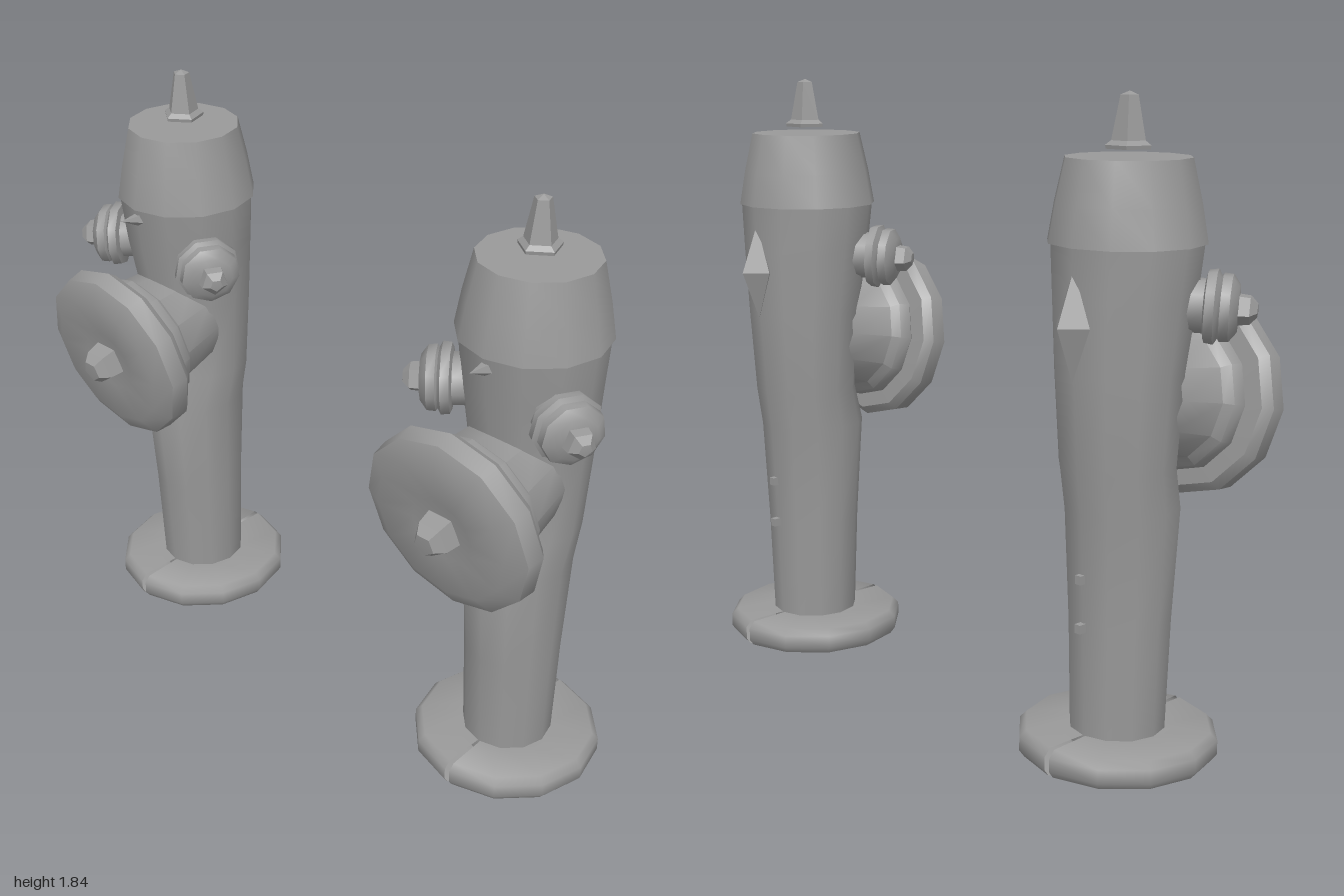
import * as THREE from 'three';
import { toCreasedNormals } from 'three/addons/utils/BufferGeometryUtils.js';

const iron = new THREE.MeshStandardMaterial({ color: 0x999999, side: THREE.DoubleSide });
iron.name = 'cast iron grey';

function add(parent, name, geometry, crease = 0.8) {
  const mesh = new THREE.Mesh(toCreasedNormals(geometry, crease), iron);
  mesh.name = name;
  parent.add(mesh);
  return mesh;
}

// turned part from [radius, height] pairs
function turned(points, sides, start = 0, length = Math.PI * 2) {
  return new THREE.LatheGeometry(points.map(([r, y]) => new THREE.Vector2(r, y)), sides, start, length);
}

// barrel: elliptical rings [y, centre z, x radius, z radius]
function loft(rings, sides) {
  const pos = [], index = [];
  rings.forEach(([y, cz, rx, rz], j) => {
    for (let i = 0; i < sides; i++) {
      const a = (i / sides) * Math.PI * 2;
      pos.push(Math.sin(a) * rx, y, cz + Math.cos(a) * rz);
      if (j === 0) continue;
      const k = (i + 1) % sides, lo = (j - 1) * sides, hi = j * sides;
      index.push(lo + i, lo + k, hi + k, lo + i, hi + k, hi + i);
    }
  });
  const g = new THREE.BufferGeometry();
  g.setAttribute('position', new THREE.Float32BufferAttribute(pos, 3));
  g.setIndex(index);
  return g;
}

function createHydrant() {
  const hydrant = new THREE.Group();
  const cz = -0.073;

  // ground flange in two halves with a narrow split front and back
  const flange = [[0.11, 0.03], [0.14, 0.0], [0.27, 0.0], [0.285, 0.02], [0.285, 0.06], [0.265, 0.08], [0.12, 0.08]];
  for (const start of [0.03, Math.PI + 0.03]) {
    add(hydrant, 'baseFlange', turned(flange, 6, start, Math.PI - 0.06), 0.9).position.z = cz;
  }
  const floor = add(hydrant, 'baseFloor', new THREE.CylinderGeometry(0.13, 0.13, 0.02, 12));
  floor.position.set(0, 0.04, cz);

  // barrel with a slight shoulder
  add(hydrant, 'barrel', loft([
    [0.04, -0.075, 0.135, 0.135],
    [0.4, -0.073, 0.143, 0.15],
    [0.72, -0.07, 0.157, 0.17],
    [0.84, -0.095, 0.165, 0.16],
    [1.1, -0.095, 0.18, 0.178],
    [1.3, -0.08, 0.195, 0.203],
    [1.45, cz, 0.208, 0.214],
  ], 12));

  // bonnet
  add(hydrant, 'bonnet', turned([[0.19, 1.445], [0.218, 1.445], [0.2, 1.55], [0.173, 1.67], [0, 1.67]], 12)).position.z = cz;

  // operating nut above the bonnet
  const nut = add(hydrant, 'topNut', turned([[0, 1.69], [0.062, 1.69], [0.064, 1.7], [0.048, 1.712], [0.025, 1.83], [0, 1.84]], 5), 0.4);
  nut.position.z = cz;

  // large front outlet, tipped slightly downward
  const outlet = new THREE.Group();
  outlet.name = 'frontOutlet';
  outlet.position.set(0, 0.985, 0.235);
  outlet.rotation.x = Math.PI / 2 + 0.17;
  add(outlet, 'outletNeck', turned([[0.17, -0.27], [0.19, -0.12], [0.215, -0.1], [0.22, -0.06], [0.2, -0.04]], 12));
  add(outlet, 'outletCap', turned([[0.18, -0.05], [0.265, -0.045], [0.287, -0.02], [0.28, 0.035], [0.22, 0.065], [0.1, 0.055], [0, 0.05]], 12));
  add(outlet, 'outletNut', turned([[0.068, 0.04], [0.058, 0.1], [0.035, 0.128], [0, 0.13]], 5), 0.4);
  hydrant.add(outlet);

  // two hose outlets, turned toward the front
  for (const [side, yaw] of [[-1, 0.6], [1, 0.5]]) {
    const hose = new THREE.Group();
    hose.name = side > 0 ? 'leftHoseOutlet' : 'rightHoseOutlet';
    hose.position.set(0, 1.29, cz);
    hose.rotation.y = side * (Math.PI / 2 - yaw);
    const tip = new THREE.Group();
    tip.rotation.x = Math.PI / 2 + 0.05;
    hose.add(tip);
    add(tip, 'hoseNeck', turned([[0.075, 0.13], [0.075, 0.21], [0.1, 0.215], [0.103, 0.24], [0.085, 0.25]], 9));
    add(tip, 'hoseCap', turned([[0.08, 0.245], [0.094, 0.255], [0.092, 0.28], [0.065, 0.3], [0, 0.302]], 9));
    add(tip, 'hoseNut', turned([[0.046, 0.29], [0.042, 0.33], [0.02, 0.35], [0, 0.352]], 5), 0.4);
    hydrant.add(hose);
  }

  // small pointed lug under the bonnet
  const lug = add(hydrant, 'frontLug', new THREE.ConeGeometry(0.03, 0.1, 5));
  lug.rotation.x = Math.PI / 2 - 0.2;
  lug.position.set(0, 1.415, 0.15);

  // raised casting ridge and small bolts down the back
  const ridge = add(hydrant, 'backRidge', new THREE.OctahedronGeometry(1), 0.4);
  ridge.scale.set(0.06, 0.15, 0.06);
  ridge.position.set(0, 1.24, -0.278);
  for (const y of [0.4, 0.54]) {
    add(hydrant, 'backBolt', new THREE.BoxGeometry(0.02, 0.025, 0.04)).position.set(0, y, -0.225);
  }
  return hydrant;
}

export function createModel() {
  const model = new THREE.Group();
  model.name = 'hydrantPair';
  for (const side of [-1, 1]) {
    const hydrant = createHydrant();
    hydrant.name = side > 0 ? 'leftHydrant' : 'rightHydrant';
    hydrant.position.x = side * 0.687;
    model.add(hydrant);
  }
  return model;
}
